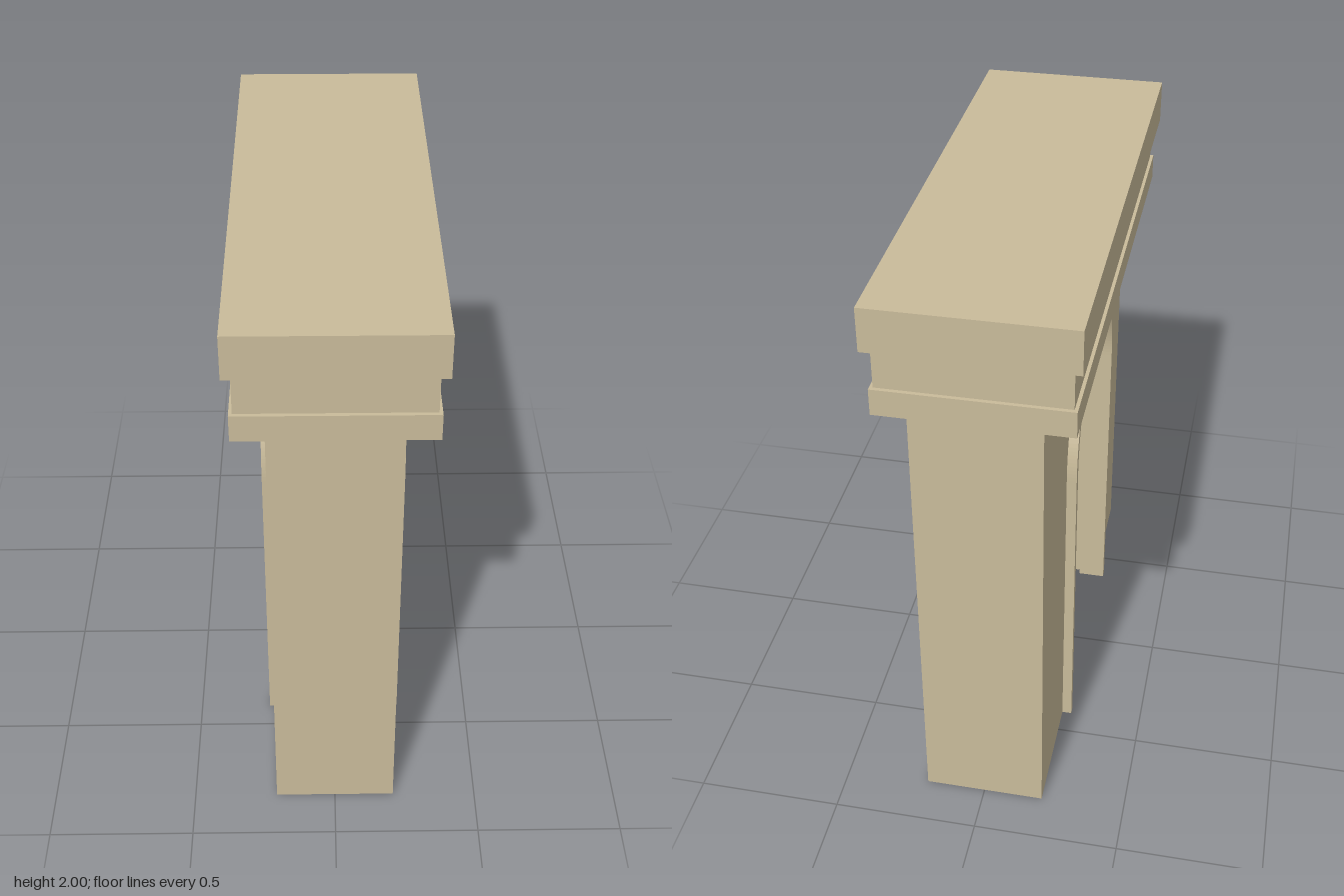
import * as THREE from 'three';

const SPRING = 1.11; // height where the arch curve begins

// Adds a half-ellipse arch from +w to -w (or back) to a path
function addArch(path, w, top, backwards = false) {
  if (backwards) path.absellipse(0, SPRING, w, top - SPRING, Math.PI, 0, true);
  else path.absellipse(0, SPRING, w, top - SPRING, 0, Math.PI, false);
}

// Extrudes a profile drawn across the width (z) through the thickness (x)
function extrudeAcross(shape, depth, x) {
  const geo = new THREE.ExtrudeGeometry(shape, { depth, bevelEnabled: false, curveSegments: 48 });
  geo.translate(0, 0, -depth / 2);
  geo.rotateY(Math.PI / 2);
  geo.translate(x, 0, 0);
  return geo;
}

export function createModel() {
  const group = new THREE.Group();
  const stone = new THREE.MeshStandardMaterial({ color: 0xc9bb9a });
  stone.name = 'sandstone';

  const add = (name, geo) => {
    const mesh = new THREE.Mesh(geo, stone);
    mesh.name = name;
    group.add(mesh);
  };

  // Piers and wall with the arched opening
  const wall = new THREE.Shape();
  wall.moveTo(0.835, 0);
  wall.lineTo(0.835, 1.63);
  wall.lineTo(-0.835, 1.63);
  wall.lineTo(-0.835, 0);
  wall.lineTo(-0.407, 0);
  wall.lineTo(-0.407, SPRING);
  addArch(wall, 0.407, 1.54, true);
  wall.lineTo(0.407, 0);
  add('archWall', extrudeAcross(wall, 0.416, 0));

  // Moulding around the opening on both faces
  const band = new THREE.Shape();
  band.moveTo(0.41, 0);
  band.lineTo(0.41, SPRING);
  addArch(band, 0.41, 1.543);
  band.lineTo(-0.41, 0);
  band.lineTo(-0.384, 0);
  band.lineTo(-0.384, SPRING);
  addArch(band, 0.384, 1.515, true);
  band.lineTo(0.384, 0);
  for (const [name, side] of [['leftArchMoulding', 1], ['rightArchMoulding', -1]]) {
    add(name, extrudeAcross(band, 0.1, side * 0.192));
  }

  // Stepped entablature: name, half x, half z, bottom, top
  for (const [name, hx, hz, y0, y1] of [
    ['architrave', 0.31, 0.867, 1.625, 1.715],
    ['frieze', 0.299, 0.854, 1.715, 1.853],
    ['cornice', 0.326, 0.884, 1.853, 2],
  ]) {
    const geo = new THREE.BoxGeometry(hx * 2, y1 - y0, hz * 2);
    geo.translate(0, (y0 + y1) / 2, 0);
    add(name, geo);
  }
  return group;
}
